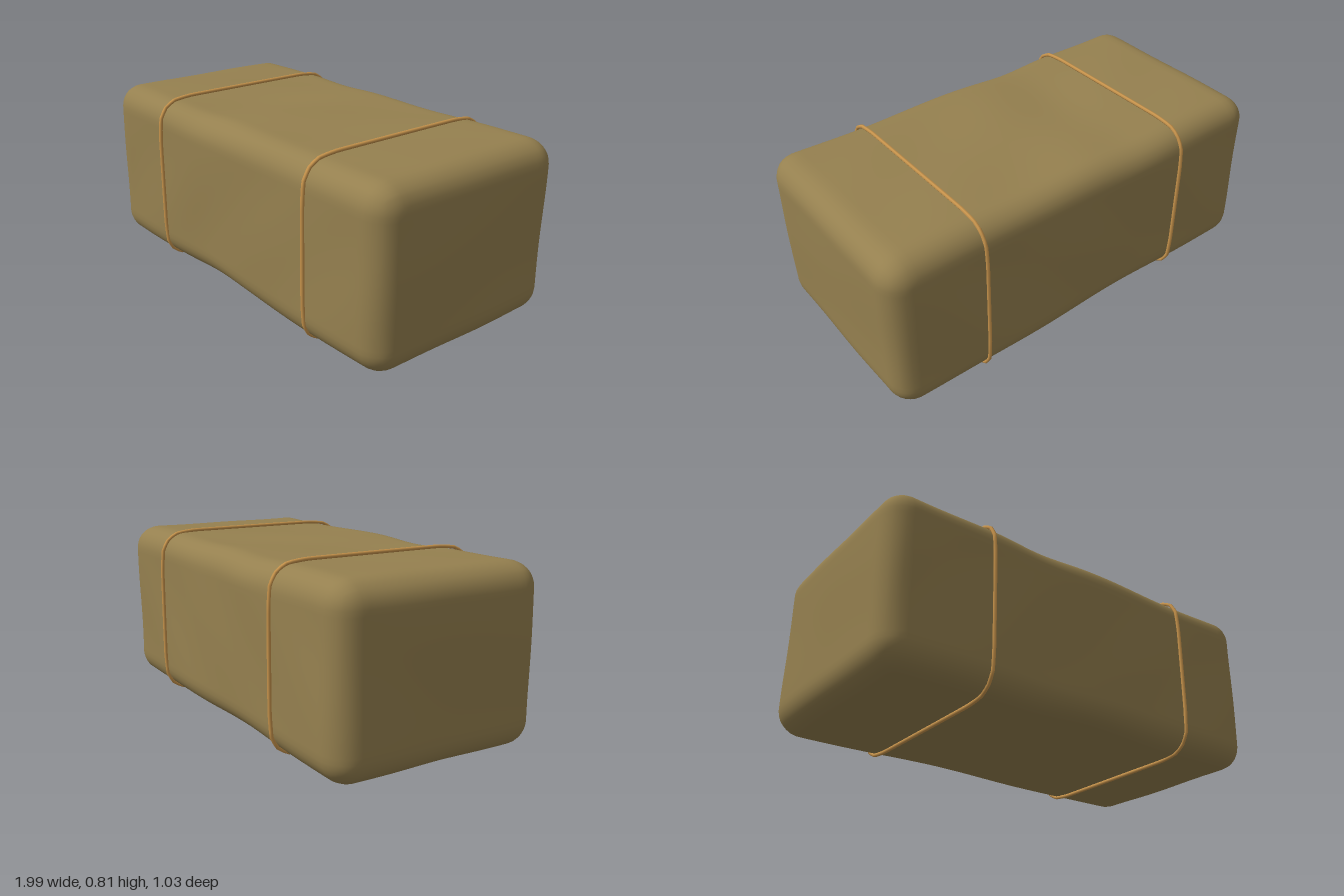
import * as THREE from 'three';
import { mergeVertices } from 'three/addons/utils/BufferGeometryUtils.js';

const hay = new THREE.MeshStandardMaterial({ name: 'hay', color: 0x95804f });
const twine = new THREE.MeshStandardMaterial({ name: 'twine', color: 0xc8944c });

const MID_Y = 0.407;
const HALF = new THREE.Vector3(0.988, 0.388, 0.495);
const ROUND = 0.11;

// Soft rounded block with a gently uneven surface
function baleGeometry() {
  const box = new THREE.BoxGeometry(HALF.x * 2, HALF.y * 2, HALF.z * 2, 60, 30, 36);
  box.deleteAttribute('uv');
  box.deleteAttribute('normal');
  const geo = mergeVertices(box);
  const pos = geo.attributes.position;
  const inner = HALF.clone().subScalar(ROUND);
  const lower = inner.clone().negate();
  const p = new THREE.Vector3(), core = new THREE.Vector3(), n = new THREE.Vector3();
  for (let i = 0; i < pos.count; i++) {
    p.fromBufferAttribute(pos, i);
    core.copy(p).clamp(lower, inner);
    n.copy(p).sub(core).normalize();
    const { x, y, z } = p;
    // Long waves, small lumps and a sag in the middle of the top, front and bottom
    let bump = 0.004 * Math.sin(5.2 * x + 2.1 * z + 1) * Math.cos(4.3 * y - 3.1 * z)
      + 0.003 * Math.sin(9 * x - 6 * y + 4 * z) * Math.cos(7 * z + 5 * y);
    if (n.y > 0) bump -= 0.012 * n.y * Math.exp(-(((x + 0.26) / 0.18) ** 2));
    if (n.y < 0) bump += 0.009 * n.y * Math.exp(-((x / 0.35) ** 2)) * -1 * -1;
    if (n.z > 0) bump -= 0.010 * n.z * Math.exp(-(((x + 0.18) / 0.2) ** 2));
    p.copy(core).addScaledVector(n, ROUND + bump);
    pos.setXYZ(i, p.x, p.y + MID_Y, p.z);
  }
  geo.computeVertexNormals();
  return geo;
}

// Closed loop of twine around the section; one quarter is mirrored to the others
function twineGeometry() {
  const quarter = [[0.505, 0.2], [0.497, 0.31], [0.467, 0.362], [0.42, 0.389], [0.32, 0.399]];
  const back = [...quarter].reverse();
  const loop = [
    ...quarter,
    ...back.map(([z, y]) => [-z, y]),
    ...quarter.map(([z, y]) => [-z, -y]),
    ...back.map(([z, y]) => [z, -y]),
  ].map(([z, y]) => new THREE.Vector3(0, y + MID_Y, z));
  const path = new THREE.CatmullRomCurve3(loop, true, 'catmullrom', 0.15);
  return new THREE.TubeGeometry(path, 120, 0.0085, 6, true);
}

export function createModel() {
  const model = new THREE.Group();
  model.name = 'hayBale';

  const bale = new THREE.Mesh(baleGeometry(), hay);
  bale.name = 'bale';
  model.add(bale);

  const loopGeo = twineGeometry();
  [['rightTwine', -0.515], ['leftTwine', 0.555]].forEach(([name, x]) => {
    const loop = new THREE.Mesh(loopGeo, twine);
    loop.name = name;
    loop.position.x = x;
    model.add(loop);
  });
  return model;
}
